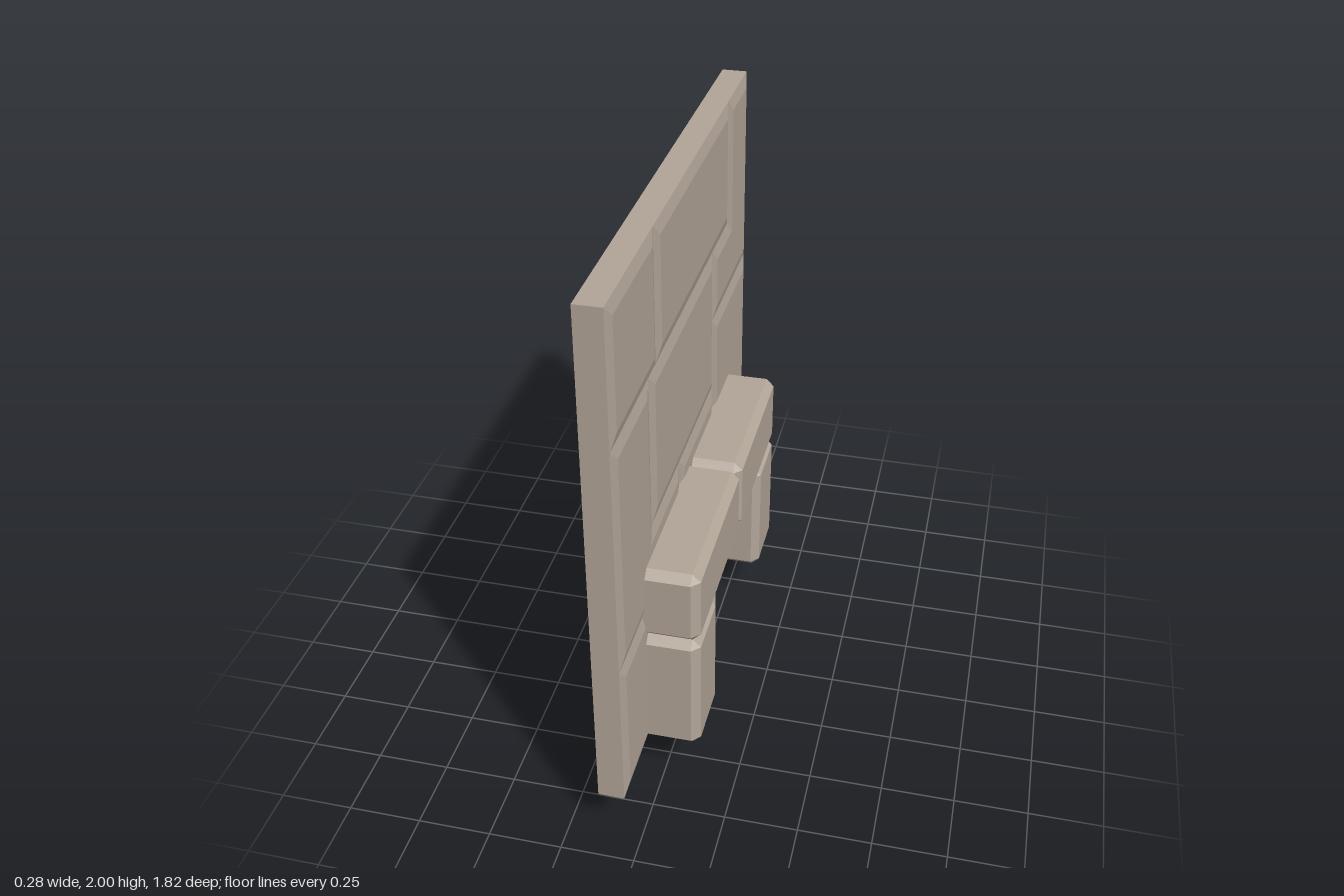
import * as THREE from 'three';
import { ConvexGeometry } from 'three/addons/geometries/ConvexGeometry.js';

const stone = new THREE.MeshStandardMaterial({ color: 0xb3a699, flatShading: true });
const iron = new THREE.MeshStandardMaterial({ color: 0xb0b0a8, flatShading: true });

const BACK = -0.14, GROOVE = -0.052, FACE = -0.042;

// Box with every edge and corner cut by c, given by its min and max corners
function chamferedBox(min, max, c) {
  const points = [];
  for (let axis = 0; axis < 3; axis++) {
    for (let corner = 0; corner < 8; corner++) {
      const p = [0, 1, 2].map((i) => {
        const inset = i === axis ? 0 : c;
        return corner & (1 << i) ? max[i] - inset : min[i] + inset;
      });
      points.push(new THREE.Vector3(...p));
    }
  }
  return new ConvexGeometry(points);
}

// Low raised panel on the wall face with sloped sides
function panel(z0, z1, y0, y1, bevel = 0.045) {
  const points = [];
  for (const [x, b] of [[GROOVE, 0], [FACE, bevel]]) {
    for (const y of [y0 + b, y1 - b]) {
      for (const z of [z0 + b, z1 - b]) points.push(new THREE.Vector3(x, y, z));
    }
  }
  return new ConvexGeometry(points);
}

export function createModel() {
  const group = new THREE.Group();
  const add = (name, geometry, material) => {
    const mesh = new THREE.Mesh(geometry, material);
    mesh.name = name;
    group.add(mesh);
    return mesh;
  };

  // Wall slab with the drain opening cut up from its lower edge
  const outline = new THREE.Shape([
    [-0.91, 0.185], [-0.385, 0.185], [-0.385, 0.66], [0.385, 0.66],
    [0.385, 0.185], [0.91, 0.185], [0.91, 2], [-0.91, 2],
  ].map(([u, v]) => new THREE.Vector2(u, v)));
  const slab = new THREE.ExtrudeGeometry(outline, { depth: GROOVE - BACK, bevelEnabled: false });
  slab.rotateY(Math.PI / 2).translate(BACK, 0, 0);
  add('wall', slab, stone);

  // Wall stones: z range, y range (overlapping pairs form L-shaped stones)
  const stones = [
    [0.41, 0.91, 1.545, 2],
    [-0.6, 0.41, 1.545, 2],
    [-0.91, -0.6, 1.275, 2],
    [-0.91, -0.36, 1.275, 1.545],
    [-0.36, 0.5, 1.0, 1.545],
    [0.5, 0.91, 0.73, 1.545],
    [0.14, 0.91, 0.73, 1.0],
    [-0.36, 0.14, 0.66, 1.0],
    [-0.91, -0.36, 0.645, 1.275],
    [-0.91, -0.385, 0.185, 0.645],
    [0.385, 0.91, 0.185, 0.73],
  ];
  stones.forEach((s, i) => add(`wallStone${i + 1}`, panel(...s), stone));

  // Surround: a pillar block and a lintel block on each side
  for (const [side, s] of [['Front', 1], ['Back', -1]]) {
    const block = (name, zIn, zOut, y0, y1) => {
      const z = [s * zIn, s * zOut].sort((a, b) => a - b);
      add(name + side, chamferedBox([-0.13, y0, z[0]], [0.135, y1, z[1]], 0.028), stone);
    };
    block('pillar', 0.365, 0.635, 0.185, 0.643);
    block('lintel', 0, 0.635, 0.643, 0.912);
  }

  // Square bars set corner-on in the opening
  [-0.217, 0, 0.217].forEach((z, i) => {
    const bar = add(`bar${i + 1}`, new THREE.CylinderGeometry(0.046, 0.046, 0.72, 4), iron);
    bar.position.set(-0.046, 0.36, z);
  });

  return group;
}
